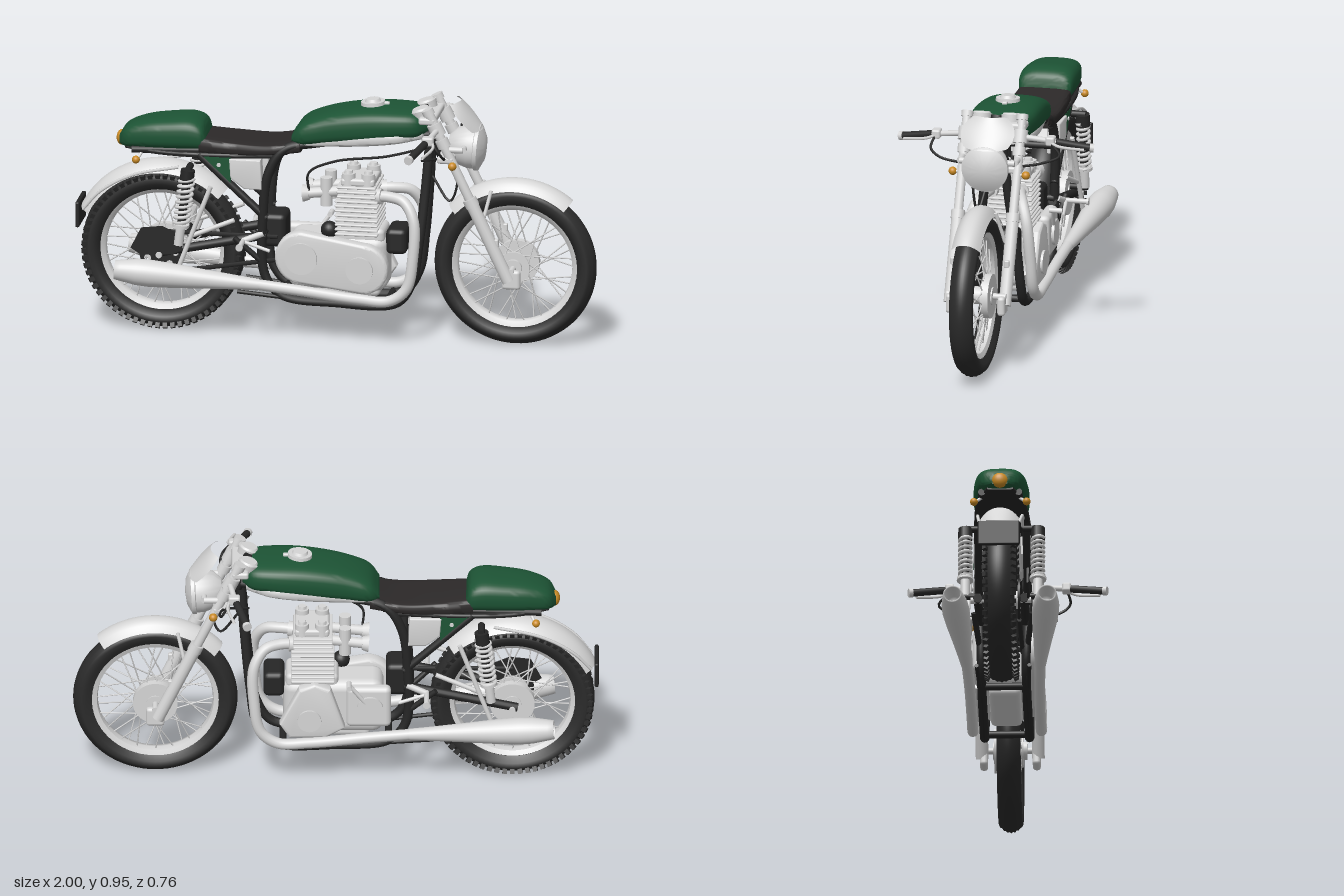
import * as THREE from 'three';
import { mergeGeometries, toCreasedNormals } from 'three/addons/utils/BufferGeometryUtils.js';
import { RoundedBoxGeometry } from 'three/addons/geometries/RoundedBoxGeometry.js';

const mat = (name, color, side = THREE.FrontSide) => new THREE.MeshStandardMaterial({ name, color, side });
const V = (p) => new THREE.Vector3(...p);
const v2 = (list) => list.map((p) => new THREE.Vector2(...p));

// Cylinder between two points
function rodGeo(a, b, r, r2 = r, n = 14) {
  const A = V(a), d = V(b).sub(A);
  const g = new THREE.CylinderGeometry(r2, r, d.length(), n);
  g.applyQuaternion(new THREE.Quaternion().setFromUnitVectors(new THREE.Vector3(0, 1, 0), d.clone().normalize()));
  const m = A.addScaledVector(d, 0.5);
  return g.translate(m.x, m.y, m.z);
}
const tubeGeo = (pts, r, seg = 60, n = 10) => new THREE.TubeGeometry(new THREE.CatmullRomCurve3(pts.map(V)), seg, r, n);
const boxGeo = (w, h, d, x, y, z, r = 0.01) => new RoundedBoxGeometry(w, h, d, 2, r).translate(x, y, z);
// Revolved profile with its axis along z
const latheZ = (pts, n = 64, start = 0, len = Math.PI * 2) => new THREE.LatheGeometry(v2(pts), n, start, len).rotateX(Math.PI / 2);
const discGeo = (r, d, x, y, z, n = 32) => new THREE.CylinderGeometry(r, r, d, n).rotateX(Math.PI / 2).translate(x, y, z);

// Body skin through sections [x, bottom, top, halfWidth] with a squarish oval outline
function loftGeo(sections, power = 0.6, steps = 32, n = 36) {
  const prof = new THREE.CatmullRomCurve3(sections.map((s) => V([s[0], s[1], s[2]])));
  const wide = new THREE.CatmullRomCurve3(sections.map((s) => V([s[0], s[3], 0])));
  const pos = [], idx = [], pw = (c) => Math.sign(c) * Math.abs(c) ** power;
  for (let i = -1; i <= steps + 1; i++) {
    const t = Math.min(1, Math.max(0, i / steps)), p = prof.getPoint(t), k = i < 0 || i > steps ? 0 : 1;
    for (let j = 0; j < n; j++) {
      const a = (j / n) * Math.PI * 2;
      pos.push(p.x, (p.y + p.z) / 2 + k * (p.z - p.y) / 2 * pw(Math.sin(a)), k * wide.getPoint(t).y * pw(Math.cos(a)));
      if (i > steps) continue;
      const r = (i + 1) * n, q = (j + 1) % n;
      idx.push(r + j, r + n + j, r + q, r + n + j, r + n + q, r + q);
    }
  }
  const g = new THREE.BufferGeometry();
  g.setAttribute('position', new THREE.Float32BufferAttribute(pos, 3));
  g.setIndex(idx);
  return toCreasedNormals(g, 0.8);
}

// Plate cut in the xy plane, starting at z
function plateGeo(shape, depth, z, bevel = 0) {
  const g = new THREE.ExtrudeGeometry(shape, { depth, bevelEnabled: bevel > 0, bevelSize: bevel, bevelThickness: bevel, bevelSegments: 3, curveSegments: 20 });
  return toCreasedNormals(g.translate(0, 0, z), 0.6);
}

export function createModel() {
  const root = new THREE.Group();
  root.name = 'motorcycle';
  const silver = mat('silver', 0xd6d6d6, THREE.DoubleSide), black = mat('black', 0x262626), rubber = mat('rubber', 0x2b2b2b);
  const green = mat('green', 0x1d5435), leather = mat('leather', 0x2c2929), amber = mat('amber', 0xc98a24);
  const add = (name, geo, m) => {
    const parts = [].concat(geo).map((g) => (g.index ? g.toNonIndexed() : g));
    const mesh = new THREE.Mesh(parts.length > 1 ? mergeGeometries(parts) : parts[0], m);
    mesh.name = name;
    root.add(mesh);
    return mesh;
  };
  // Same parts on both sides; fn gets the side sign
  const both = (name, m, fn) => [1, -1].forEach((s) => add((s > 0 ? 'near' : 'far') + name, fn(s), m));

  // Wheels
  const wheel = (label, x, w, ribs) => {
    const y = 0.317, R = 0.312, tread = [];
    for (let i = -6; i <= 6; i++) tread.push([R - 0.022 * (i / 6) ** 2 - (i % 2 ? 0.004 : 0), w * 0.9 * i / 6]);
    const tyre = [[0.238, -w * 0.6], [0.262, -w * 0.95], [0.28, -w], ...tread, [0.28, w], [0.262, w * 0.95], [0.238, w * 0.6], [0.238, -w * 0.6]];
    add(label + 'Tyre', latheZ(tyre, 80).translate(x, y, 0), rubber);
    add(label + 'Rim', latheZ([[0.222, -0.022], [0.25, -w * 0.72], [0.254, -w * 0.72], [0.254, w * 0.72], [0.25, w * 0.72], [0.222, 0.022], [0.218, 0], [0.222, -0.022]], 64).translate(x, y, 0), silver);
    const spokes = [];
    for (let i = 0; i < 40; i++) {
      const a = (i / 40) * Math.PI * 2, s = i % 2 ? 1 : -1, b = a + (i % 4 < 2 ? 0.9 : -0.9);
      spokes.push(rodGeo([x + 0.055 * Math.cos(b), y + 0.055 * Math.sin(b), s * 0.045], [x + 0.224 * Math.cos(a), y + 0.224 * Math.sin(a), s * 0.008], 0.0028, 0.0028, 5));
    }
    add(label + 'Spokes', spokes, silver);
    add(label + 'Hub', [discGeo(0.034, 0.13, x, y, 0), discGeo(0.062, 0.012, x, y, 0.045), discGeo(0.085, 0.03, x, y, -0.045), discGeo(0.012, 0.23, x, y, 0)], silver);
    if (!ribs) return;
    const blocks = [];
    for (let i = 0; i < 64; i++) for (const s of [-1, 1]) {
      const g = new THREE.BoxGeometry(0.017, 0.028, 0.016).rotateX(s * 0.5).translate(0, 0.293, s * w * 0.88);
      blocks.push(g.rotateZ((i + (s > 0 ? 0.5 : 0)) / 64 * Math.PI * 2).translate(x, y, 0));
    }
    add(label + 'TreadBlocks', blocks, rubber);
  };
  wheel('rear', -0.67, 0.058, true);
  wheel('front', 0.685, 0.046, false);

  // Mudguards
  const guard = (name, x, r, w, from, to) => {
    const pts = [];
    for (let i = -6; i <= 6; i++) pts.push([r - 0.04 * Math.abs(i / 6) ** 2.4, w * i / 6]);
    const rad = Math.PI / 180;
    add(name, latheZ(pts, 40, (from + 90) * rad, (to - from) * rad).translate(x, 0.317, 0), silver);
  };
  guard('frontMudguard', 0.685, 0.342, 0.056, 50, 138);
  guard('rearMudguard', -0.67, 0.352, 0.072, 45, 154);
  add('mudflap', boxGeo(0.016, 0.1, 0.16, -0.99, 0.45, 0, 0.006), black);

  // Fork, yokes and steering head
  const forkAt = (y, z, dx = 0) => [0.43 + (0.8 - y) * 0.472 + dx, y, z];
  both('ForkLeg', silver, (s) => {
    const z = s * 0.107;
    return [rodGeo(forkAt(0.94, z), forkAt(0.5, z), 0.018), rodGeo(forkAt(0.58, z), forkAt(0.28, z), 0.024), rodGeo(forkAt(0.6, z), forkAt(0.57, z), 0.027),
      rodGeo(forkAt(0.83, z), forkAt(0.8, z), 0.025), rodGeo(forkAt(0.945, z), forkAt(0.925, z), 0.023), boxGeo(0.07, 0.075, 0.03, 0.685, 0.285, s * 0.1, 0.012),
      boxGeo(0.025, 0.03, 0.02, ...forkAt(0.43, s * 0.105, 0.02), 0.005), rodGeo(forkAt(0.5, s * 0.085), [0.6, 0.62, s * 0.055], 0.007)];
  });
  for (const y of [0.9, 0.75]) add('yoke', boxGeo(0.065, 0.028, 0.25, ...forkAt(y, 0, -0.02)).rotateZ(0), silver);
  add('steeringHead', rodGeo(forkAt(0.92, 0, -0.05), forkAt(0.74, 0, -0.05), 0.028), black);
  both('Gauge', silver, (s) => [rodGeo([0.345, 0.885, s * 0.058], [0.33, 0.93, s * 0.058], 0.034, 0.04, 28), rodGeo([0.33, 0.93, s * 0.058], [0.328, 0.937, s * 0.058], 0.036, 0.03, 28)]);

  // Clip-on bars, levers, grips
  both('Handlebar', silver, (s) => [rodGeo(forkAt(0.89, s * 0.107), forkAt(0.845, s * 0.107), 0.028), rodGeo([0.405, 0.87, s * 0.107], [0.378, 0.85, s * 0.24], 0.011),
    boxGeo(0.045, 0.035, 0.035, 0.385, 0.855, s * 0.222, 0.008), tubeGeo([[0.4, 0.852, s * 0.22], [0.41, 0.84, s * 0.26], [0.385, 0.825, s * 0.35]], 0.006, 16, 6),
    rodGeo([0.338, 0.822, s * 0.362], [0.334, 0.82, s * 0.377], 0.017)]);
  both('Grip', rubber, (s) => [rodGeo([0.376, 0.849, s * 0.24], [0.338, 0.822, s * 0.362], 0.014)]);
  both('BarCable', black, (s) => [tubeGeo([[0.4, 0.85, s * 0.225], [0.43, 0.81, s * (s > 0 ? 0.235 : 0.265)], [0.44, 0.78, s * 0.2], [0.42, 0.755, s * 0.11], [0.33, 0.72, s * 0.04]], 0.005, 36, 6)]);
  add('throttleCable', [tubeGeo([[0.36, 0.78, 0.05], [0.2, 0.74, 0.07], [0, 0.71, 0.07], [-0.1, 0.66, 0.07], [-0.1, 0.58, 0.06]], 0.005, 40, 6), tubeGeo([[0.44, 0.75, 0.07], [0.47, 0.65, 0.06], [0.44, 0.57, 0.05], [0.37, 0.66, 0.03]], 0.005, 30, 6)], black);

  // Headlamp and small fly screen
  const lamp = new THREE.LatheGeometry(v2([[0, -0.1], [0.04, -0.094], [0.07, -0.065], [0.084, -0.02], [0.084, 0.005], [0.09, 0.008], [0.09, 0.022], [0.082, 0.026], [0.05, 0.042], [0, 0.048]]), 48);
  add('headlamp', toCreasedNormals(lamp.rotateZ(-Math.PI / 2 - 0.06), 0.6).translate(0.525, 0.775, 0), silver);
  add('headlampBracket', [rodGeo([0.5, 0.79, -0.107], [0.5, 0.79, 0.107], 0.012), ...[-1, 1].map((s) => rodGeo([0.5, 0.79, s * 0.107], forkAt(0.79, s * 0.107), 0.012))], silver);
  const screen = new THREE.PlaneGeometry(2, 1, 16, 10), sp = screen.attributes.position;
  for (let i = 0; i < sp.count; i++) {
    const u = sp.getX(i), t = sp.getY(i) + 0.5, z = u * (0.086 + 0.018 * Math.sin(Math.PI * Math.min(1, t * 1.1))) * (1 - 0.22 * t ** 8);
    sp.setXYZ(i, 0.56 - 0.085 * t - 0.03 * u * u, 0.85 + 0.108 * t - 0.012 * u ** 6 * (t - 0.5), -z);
  }
  screen.computeVertexNormals();
  add('flyScreen', screen, silver);

  // Indicators and tail lamp
  both('FrontIndicator', amber, (s) => [new THREE.SphereGeometry(0.016, 20, 14).translate(0.465, 0.735, s * 0.142)]);
  both('RearIndicator', amber, (s) => [new THREE.SphereGeometry(0.015, 20, 14).translate(-0.76, 0.688, s * 0.1)]);
  both('IndicatorStem', silver, (s) => [rodGeo([0.465, 0.735, s * 0.1], [0.465, 0.735, s * 0.135], 0.006), rodGeo([-0.74, 0.715, s * 0.07], [-0.755, 0.69, s * 0.095], 0.006)]);
  add('tailLamp', new THREE.SphereGeometry(0.03, 24, 16).scale(0.7, 1, 1).translate(-0.83, 0.745, 0), amber);

  // Tank, seat and tail
  add('tank', loftGeo([[-0.165, 0.775, 0.81, 0.08], [-0.13, 0.768, 0.855, 0.107], [-0.04, 0.775, 0.895, 0.116], [0.1, 0.79, 0.922, 0.125], [0.23, 0.808, 0.927, 0.125], [0.32, 0.82, 0.918, 0.108], [0.355, 0.84, 0.89, 0.07]], 0.62), green);
  add('tankBase', loftGeo([[-0.14, 0.763, 0.8, 0.09], [0.1, 0.778, 0.84, 0.118], [0.25, 0.797, 0.85, 0.117], [0.34, 0.812, 0.86, 0.08]], 0.5), silver);
  add('fuelCap', [rodGeo([0.138, 0.91, 0], [0.136, 0.937, 0], 0.048, 0.046, 28), rodGeo([0.136, 0.935, 0], [0.135, 0.947, 0], 0.032, 0.026, 24), boxGeo(0.03, 0.012, 0.02, 0.185, 0.93, 0, 0.004)], silver);
  add('seat', loftGeo([[-0.52, 0.72, 0.785, 0.1], [-0.4, 0.72, 0.775, 0.107], [-0.25, 0.725, 0.77, 0.108], [-0.13, 0.74, 0.79, 0.098]], 0.4), leather);
  add('seatBase', loftGeo([[-0.81, 0.715, 0.732, 0.05], [-0.7, 0.708, 0.73, 0.09], [-0.5, 0.705, 0.73, 0.105], [-0.2, 0.715, 0.74, 0.1]], 0.4), black);
  add('tail', loftGeo([[-0.835, 0.725, 0.765, 0.035], [-0.81, 0.72, 0.8, 0.07], [-0.74, 0.72, 0.83, 0.092], [-0.64, 0.722, 0.846, 0.104], [-0.55, 0.724, 0.85, 0.106], [-0.51, 0.726, 0.83, 0.1], [-0.495, 0.735, 0.79, 0.085]], 0.65), green);

  // Frame
  both('FrameLoop', black, (s) => [
    tubeGeo([[0.36, 0.8, 0.03], [0.345, 0.6, 0.05], [0.325, 0.4, 0.075], [0.3, 0.25, 0.085], [0.24, 0.165, 0.085], [0, 0.155, 0.085], [-0.2, 0.175, 0.085], [-0.265, 0.25, 0.085], [-0.272, 0.5, 0.092], [-0.25, 0.66, 0.095], [-0.19, 0.755, 0.09], [-0.08, 0.778, 0.07], [0.36, 0.825, 0.03]].map(([x, y, z]) => [x, y, z * s]), 0.018, 140),
    rodGeo([-0.18, 0.745, s * 0.085], [-0.78, 0.72, s * 0.07], 0.014), rodGeo([-0.52, 0.72, s * 0.092], [-0.26, 0.48, s * 0.092], 0.015),
    rodGeo([-0.26, 0.41, s * 0.085], [-0.69, 0.318, s * 0.088], 0.017), rodGeo([-0.27, 0.3, s * 0.09], [-0.38, 0.4, s * 0.11], 0.011), rodGeo([-0.06, 0.155, s * 0.085], [-0.37, 0.185, s * 0.1], 0.008)]);
  add('frameCrossbars', [[-0.2, 0.175], [0.2, 0.16], [-0.27, 0.42], [-0.26, 0.63], [-0.5, 0.715]].map(([x, y]) => rodGeo([x, y, -0.09], [x, y, 0.09], 0.014)), black);
  const tri = new THREE.Shape(v2([[-0.5, 0.715], [-0.395, 0.715], [-0.395, 0.615]]));
  const side = new THREE.Shape(v2([[-0.395, 0.705], [-0.285, 0.705], [-0.28, 0.6], [-0.34, 0.6], [-0.375, 0.625], [-0.39, 0.64]]));
  both('GussetPanel', green, (s) => [plateGeo(tri, 0.012, s * 0.1 - 0.006)]);
  both('SidePanel', silver, (s) => [plateGeo(side, 0.04, s * 0.085 - 0.02, 0.006)]);
  both('PanelBolt', silver, (s) => [discGeo(0.008, 0.02, -0.44, 0.685, s * 0.1, 12)]);

  // Rear shocks with coil springs
  const top = [-0.553, 0.67], foot = [-0.59, 0.37], shock = (t, z) => [top[0] + (foot[0] - top[0]) * t, top[1] + (foot[1] - top[1]) * t, z];
  both('ShockSpring', silver, (s) => {
    const coil = [];
    for (let i = 0; i <= 90; i++) {
      const a = i / 10 * Math.PI * 2, p = shock(0.12 + 0.62 * i / 90, s * 0.138);
      coil.push([p[0] + 0.028 * Math.cos(a), p[1], p[2] + 0.022 * Math.sin(a)]);
    }
    return [tubeGeo(coil, 0.0065, 270, 6), rodGeo(shock(0.7, s * 0.138), shock(1, s * 0.138), 0.018), rodGeo(shock(0.72, s * 0.138), shock(0.76, s * 0.138), 0.032)];
  });
  both('ShockBody', black, (s) => [rodGeo(shock(0, s * 0.138), shock(0.16, s * 0.138), 0.027), rodGeo(shock(0.1, s * 0.138), shock(0.72, s * 0.138), 0.016), rodGeo([...top, s * 0.15], [...top, s * 0.08], 0.013), rodGeo([...foot, s * 0.15], [...foot, s * 0.08], 0.012)]);
  both('MudguardStay', silver, (s) => [rodGeo([-0.47, 0.6, s * 0.115], [-0.59, 0.28, s * 0.13], 0.009), rodGeo([-0.38, 0.47, s * 0.11], [-0.55, 0.4, s * 0.12], 0.009),
    tubeGeo([[-0.6, 0.66, s * 0.08], [-0.78, 0.62, s * 0.085], [-0.9, 0.55, s * 0.08], [-0.97, 0.47, s * 0.065]], 0.006, 24, 6)]);
  both('Footpeg', silver, (s) => [rodGeo([-0.345, 0.39, s * 0.1], [-0.345, 0.39, s * 0.205], 0.01), rodGeo([-0.345, 0.39, s * 0.2], [-0.345, 0.39, s * 0.208], 0.014), rodGeo([-0.345, 0.39, s * 0.12], [-0.24, 0.36, s * 0.13], 0.007),
    rodGeo([-0.27, 0.42, s * 0.1], [-0.345, 0.39, s * 0.11], 0.012)]);

  // Chain, sprocket and drilled guard
  const sprocket = new THREE.Shape().absarc(-0.67, 0.317, 0.082, 0, Math.PI * 2);
  const chainGuard = new THREE.Shape(v2([[-0.78, 0.34], [-0.74, 0.42], [-0.66, 0.43], [-0.59, 0.4], [-0.58, 0.34], [-0.62, 0.32], [-0.74, 0.315]]));
  for (let i = 0; i < 7; i++) sprocket.holes.push(new THREE.Path().absarc(-0.67 + 0.056 * Math.cos(i * 0.8976), 0.317 + 0.056 * Math.sin(i * 0.8976), 0.014, 0, Math.PI * 2));
  for (let i = 0; i < 4; i++) chainGuard.holes.push(new THREE.Path().absarc(-0.735 + 0.042 * i, 0.375, 0.014, 0, Math.PI * 2));
  add('sprocket', plateGeo(sprocket, 0.008, 0.066), black);
  add('chainGuard', plateGeo(chainGuard, 0.008, 0.1), black);
  add('chain', [rodGeo([-0.67, 0.4, 0.07], [-0.22, 0.4, 0.07], 0.009, 0.009, 6), rodGeo([-0.67, 0.235, 0.07], [-0.22, 0.31, 0.07], 0.009, 0.009, 6)], black);

  // Engine: cases, covers, finned barrels, head
  add('crankcase', [boxGeo(0.38, 0.22, 0.17, 0.01, 0.31, 0, 0.04), boxGeo(0.2, 0.06, 0.15, 0.09, 0.42, 0, 0.02), boxGeo(0.3, 0.05, 0.12, 0.02, 0.2, 0, 0.02)], silver);
  const cover = new THREE.Shape().absarc(-0.12, 0.335, 0.09, Math.PI / 2, Math.PI * 1.5).absarc(0.115, 0.3, 0.085, -Math.PI / 2, Math.PI / 2);
  add('primaryCover', [plateGeo(cover, 0.035, 0.08, 0.012), discGeo(0.062, 0.012, -0.12, 0.335, 0.13), discGeo(0.052, 0.014, 0.105, 0.3, 0.13)], silver);
  const timing = new THREE.Shape(v2([[-0.02, 0.25], [0.04, 0.215], [0.17, 0.215], [0.2, 0.26], [0.13, 0.4], [0.08, 0.42], [0.03, 0.4]]));
  add('timingCover', [plateGeo(timing, 0.03, -0.115, 0.012), discGeo(0.045, 0.012, 0.1, 0.28, -0.13), boxGeo(0.17, 0.17, 0.05, -0.125, 0.33, -0.095, 0.02), discGeo(0.05, 0.012, -0.13, 0.33, -0.125)], silver);
  add('kickStarter', [rodGeo([-0.13, 0.33, -0.12], [-0.05, 0.44, -0.135], 0.008), rodGeo([-0.05, 0.44, -0.12], [-0.05, 0.44, -0.17], 0.01)], silver);
  const fins = [boxGeo(0.12, 0.2, 0.15, 0.087, 0.51, 0, 0.02)];
  for (let i = 0; i < 11; i++) fins.push(boxGeo(i > 7 ? 0.15 : 0.165, 0.009, 0.2, 0.087, 0.43 + i * 0.0185, 0, 0.004));
  add('cylinderFins', fins, silver);
  const head = [boxGeo(0.13, 0.03, 0.17, 0.09, 0.632, 0)];
  for (const x of [0.052, 0.128]) for (const z of [-0.06, 0.06]) head.push(rodGeo([x, 0.62, z], [x, 0.665, z], 0.028, 0.026, 20), rodGeo([x, 0.66, z], [x, 0.676, z], 0.02, 0.016, 6));
  add('cylinderHead', head, silver);
  both('Carburettor', silver, (s) => [rodGeo([0.03, 0.59, s * 0.05], [-0.1, 0.575, s * 0.05], 0.02), rodGeo([-0.035, 0.53, s * 0.05], [-0.035, 0.64, s * 0.05], 0.023), rodGeo([-0.1, 0.575, s * 0.05], [-0.125, 0.573, s * 0.05], 0.026, 0.034)]);
  add('engineFittings', [new THREE.SphereGeometry(0.033, 20, 14).translate(-0.02, 0.44, 0.07), boxGeo(0.09, 0.13, 0.13, -0.235, 0.42, 0, 0.02), boxGeo(0.08, 0.1, 0.14, 0.235, 0.4, 0, 0.02)], black);

  // Exhausts with swelling silencers
  both('ExhaustPipe', silver, (s) => [tubeGeo([[0.14, 0.575, 0.055], [0.21, 0.578, 0.065], [0.27, 0.565, 0.085], [0.31, 0.5, 0.11], [0.31, 0.36, 0.125], [0.285, 0.235, 0.13], [0.22, 0.185, 0.13], [0.1, 0.186, 0.13], [-0.12, 0.21, 0.133], [-0.32, 0.232, 0.14]].map(([x, y, z]) => [x, y, z * s]), 0.021, 110, 14),
    rodGeo([0.16, 0.576, s * 0.057], [0.18, 0.577, s * 0.06], 0.03)]);
  both('Silencer', silver, (s) => {
    const a = V([-0.28, 0.228, s * 0.139]), d = V([-0.83, 0.272, s * 0.18]).sub(a);
    const g = new THREE.LatheGeometry(v2([[0.022, 0], [0.027, 0.08], [0.036, 0.2], [0.047, 0.33], [0.052, 0.42], [0.05, 0.47], [0.04, 0.53], [0.036, 0.552], [0.03, 0.552], [0.028, 0.48], [0, 0.48]]), 32);
    g.applyQuaternion(new THREE.Quaternion().setFromUnitVectors(new THREE.Vector3(0, 1, 0), d.normalize()));
    return [g.translate(a.x, a.y, a.z)];
  });
  return root;
}
